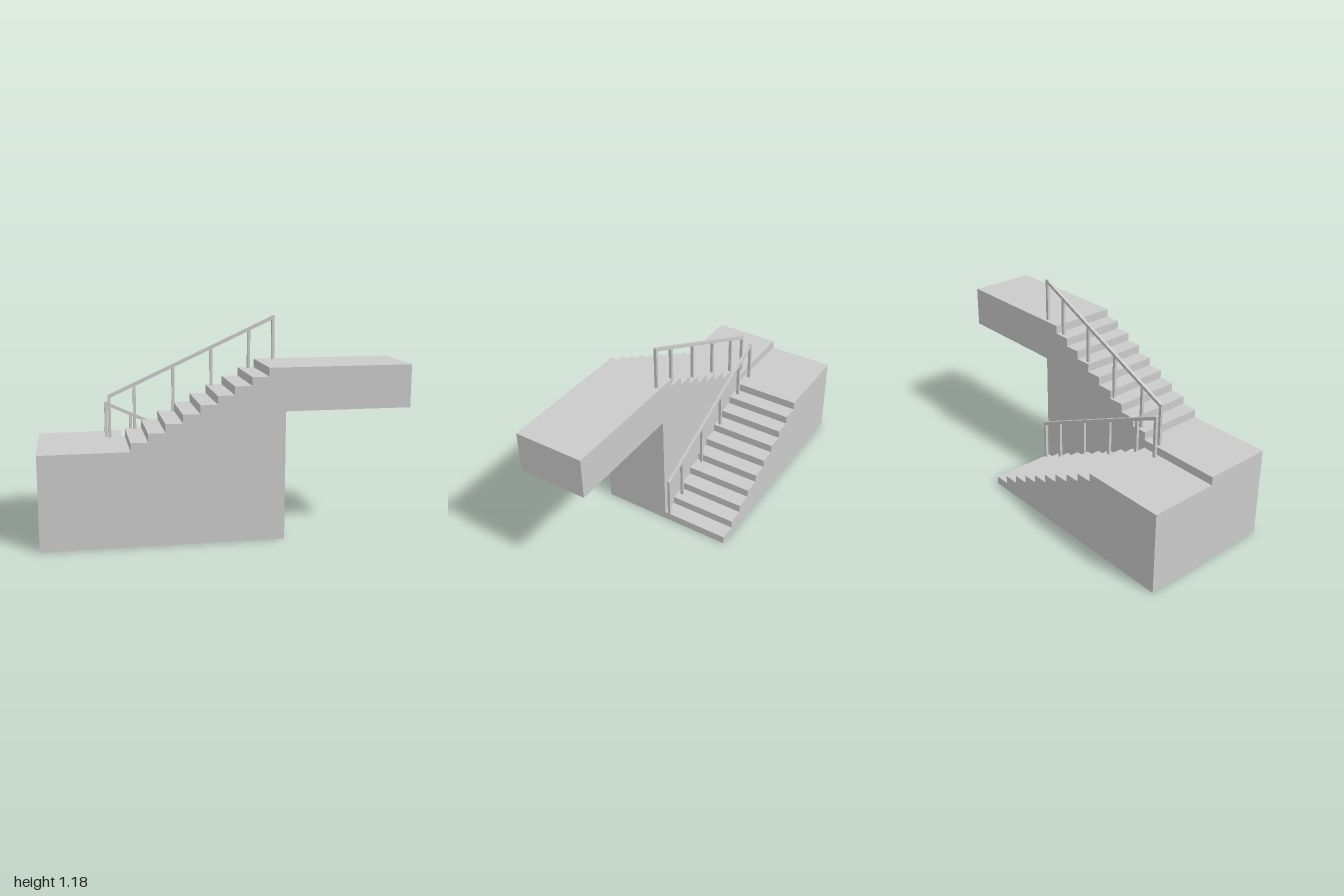
import * as THREE from 'three';

const RISE = 0.0469, RUN = 0.0917, X0 = -0.52, DEPTH = 0.391;
const LANDING = 11 * RISE, LOW_LANDING = 10 * RISE, TOP = 20 * RISE;
const END = X0 + 9 * RUN;

const mat = new THREE.MeshStandardMaterial({ color: 0xcccccc, flatShading: true, side: THREE.DoubleSide });

function addMesh(parent, name, geometry) {
  const mesh = new THREE.Mesh(geometry, mat);
  mesh.name = name;
  parent.add(mesh);
  return mesh;
}

// Strip of quads swept in z along an open outline
function sweep(points, zBack, zFront) {
  const pos = [];
  for (let i = 0; i < points.length - 1; i++) {
    const [ax, ay] = points[i], [bx, by] = points[i + 1];
    pos.push(ax, ay, zFront, bx, by, zFront, bx, by, zBack);
    pos.push(ax, ay, zFront, bx, by, zBack, ax, ay, zBack);
  }
  const g = new THREE.BufferGeometry();
  g.setAttribute('position', new THREE.Float32BufferAttribute(pos, 3));
  g.computeVertexNormals();
  return g;
}

function sideWall(points) {
  return new THREE.ShapeGeometry(new THREE.Shape(points.map(p => new THREE.Vector2(...p))));
}

// Hollow flight with an open underside
function flight(name, points, zBack, zFront) {
  const group = new THREE.Group();
  group.name = name;
  addMesh(group, 'treadsAndEnds', sweep(points, zBack, zFront));
  if (zFront > 0) addMesh(group, 'frontWall', sideWall(points)).position.z = zFront;
  const back = addMesh(group, 'backWall', sideWall(points));
  back.position.z = zBack;
  back.scale.z = -1;
  return group;
}

// Posts standing on the steps under a sloping handrail
function railing(name, xs, floorAt, z) {
  const T = 0.016, HEIGHT = 0.244, BAR = 0.02;
  const group = new THREE.Group();
  group.name = name;
  const xa = xs[0], xb = xs[xs.length - 1];
  const ya = floorAt(xa) + HEIGHT, yb = floorAt(xb) + HEIGHT;
  const barTop = x => ya + (yb - ya) * (x - xa) / (xb - xa);
  xs.forEach((x, i) => {
    const isEnd = i === 0 || i === xs.length - 1;
    const y0 = floorAt(x), y1 = isEnd ? barTop(x) : barTop(x) - BAR / 2;
    const post = addMesh(group, isEnd ? 'endPost' : 'post', new THREE.BoxGeometry(T, y1 - y0, T));
    post.position.set(x, (y0 + y1) / 2, z);
  });
  const s = new THREE.Shape([
    new THREE.Vector2(xa, ya - BAR), new THREE.Vector2(xb, yb - BAR),
    new THREE.Vector2(xb, yb), new THREE.Vector2(xa, ya)
  ]);
  const bar = new THREE.ExtrudeGeometry(s, { depth: T, bevelEnabled: false });
  addMesh(group, 'handrail', bar).position.z = z - T / 2;
  return group;
}

export function createModel() {
  const model = new THREE.Group();
  model.name = 'staircase';

  // Upper flight with cantilevered platform
  const upper = [[-1, 0], [-1, LANDING]];
  for (let k = 0; k < 9; k++) {
    const x = X0 + k * RUN, y = LANDING + k * RISE;
    upper.push([x, y], [x, y + RISE]);
  }
  upper.push([1, TOP], [1, 15 * RISE], [END, 15 * RISE], [END, 0]);
  model.add(flight('upperFlight', upper, 0, DEPTH));

  // Lower flight, descending alongside
  const lower = [[-1, 0], [-1, LOW_LANDING]];
  for (let k = 0; k < 10; k++) {
    const x = X0 + k * RUN, y = LOW_LANDING - k * RISE;
    lower.push([x, y], [x, y - RISE]);
  }
  model.add(flight('lowerFlight', lower, -DEPTH, 0));

  // Railings on both sides of the dividing wall
  const stepIndex = x => THREE.MathUtils.clamp(Math.floor((x - X0) / RUN) + 1, 0, 9);
  model.add(railing('upperRailing', [-0.605, -0.466, -0.25, -0.035, 0.179, 0.318],
    x => LANDING + stepIndex(x) * RISE, 0.025));
  model.add(railing('lowerRailing', [-0.622, -0.485, -0.271, -0.057, 0.16, 0.297],
    x => LOW_LANDING - stepIndex(x) * RISE, -0.026));

  return model;
}
